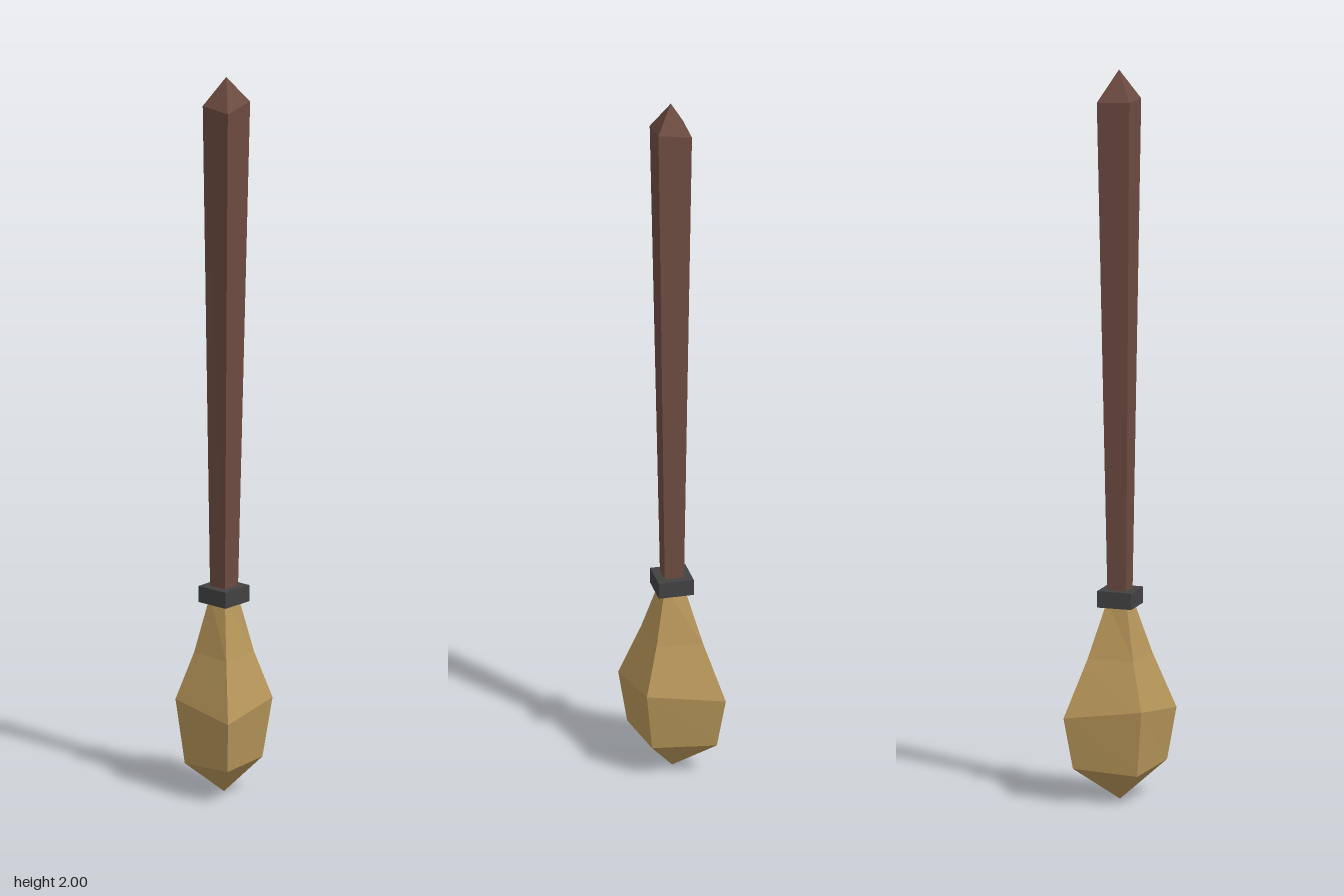
import * as THREE from 'three';

// One four-cornered ring: corners in order front, +x, back, -x.
// y is given per corner pair so that the rings can sag a little.
function ring(right, left, z, yFront, yRight = yFront, yLeft = yRight, midX = 0) {
  return [[midX, yFront, z], [left, yLeft, 0], [midX, yFront, -z], [-right, yRight, 0]];
}

// Skin rings from bottom to top; a ring with one corner is a pointed end.
function loft(name, rings, color) {
  const positions = [];
  for (let i = 0; i < rings.length - 1; i++) {
    const low = rings[i], high = rings[i + 1];
    for (let k = 0; k < 4; k++) {
      const a = low[k % low.length], b = low[(k + 1) % low.length];
      const c = high[(k + 1) % high.length], d = high[k % high.length];
      if (low.length > 1) positions.push(...a, ...b, ...d);
      if (high.length > 1) positions.push(...b, ...c, ...d);
    }
  }
  const geometry = new THREE.BufferGeometry();
  geometry.setAttribute('position', new THREE.Float32BufferAttribute(positions, 3));
  geometry.computeVertexNormals();
  const mesh = new THREE.Mesh(geometry, new THREE.MeshStandardMaterial({ color, flatShading: true }));
  mesh.name = name;
  return mesh;
}

export function createModel() {
  const group = new THREE.Group();
  group.name = 'broom';

  // Handle: widens upward to a blunt pointed end
  group.add(loft('handle', [
    ring(0.037, 0.037, 0.037, 0.55),
    ring(0.057, 0.07, 0.066, 1.915, 1.92, 1.93, 0.006),
    [[0.006, 2, 0]],
  ], 0x6d4c41));

  // Bristle head: pointed bottom, wide belly, narrow neck under the collar
  group.add(loft('bristles', [
    [[0, 0.005, 0]],
    ring(0.105, 0.103, 0.14, 0.1, 0.085, 0.1),
    ring(0.13, 0.13, 0.168, 0.24, 0.265),
    ring(0.08, 0.08, 0.097, 0.395),
    ring(0.038, 0.038, 0.038, 0.55),
  ], 0xb8975a));

  // Collar: square band turned on its corner
  const collar = new THREE.Mesh(
    new THREE.CylinderGeometry(0.068, 0.068, 0.045, 4),
    new THREE.MeshStandardMaterial({ color: 0x424242, flatShading: true }));
  collar.name = 'collar';
  collar.position.y = 0.557;
  group.add(collar);

  return group;
}
